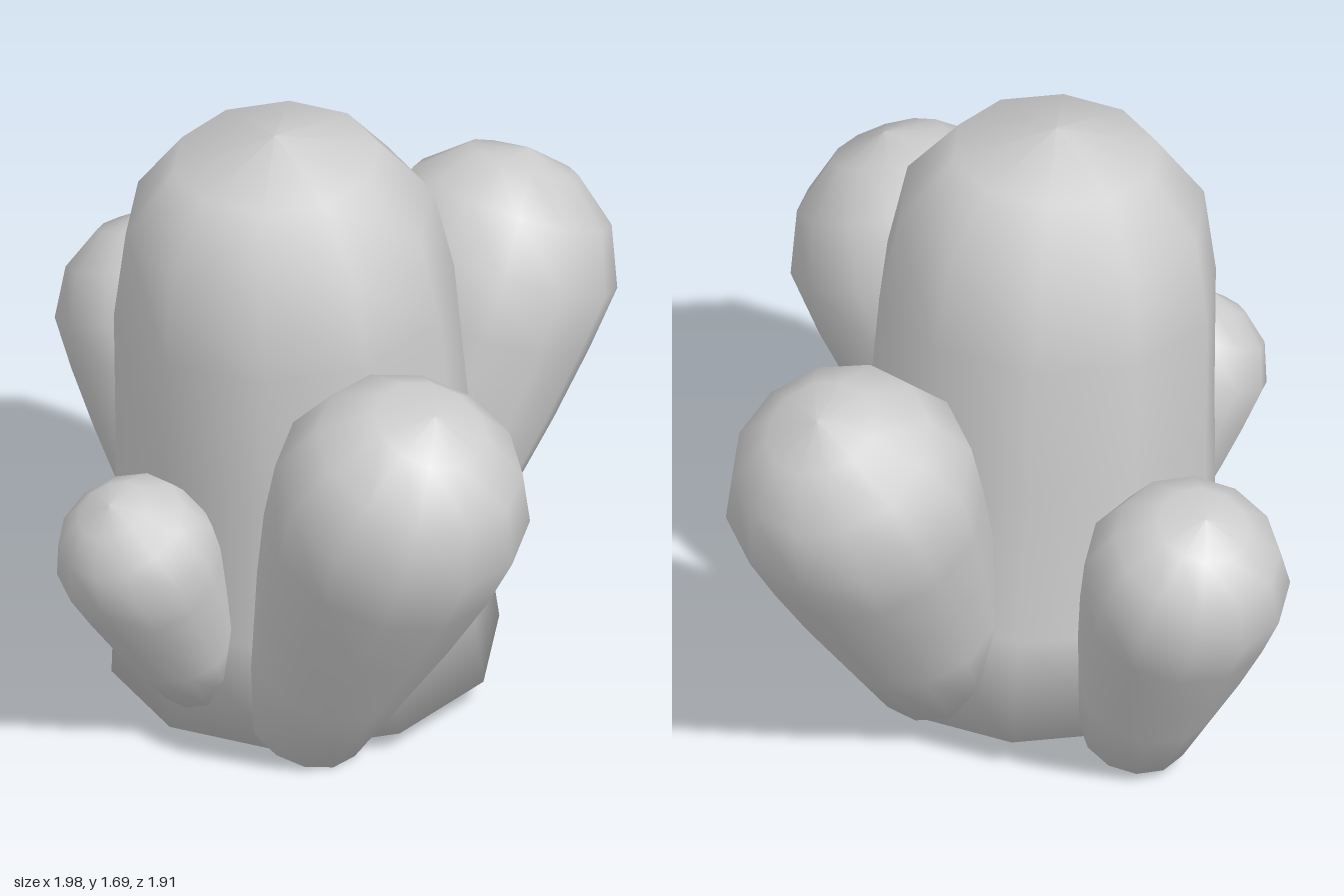
import * as THREE from 'three';

const UP = new THREE.Vector3(0, 1, 0);

// Turned solid running from a base point towards a second point
function turned(name, profile, sides, base, toward, material, spin = 0) {
  const points = profile.map(([r, h]) => new THREE.Vector2(r, h));
  const mesh = new THREE.Mesh(new THREE.LatheGeometry(points, sides, spin), material);
  const from = new THREE.Vector3(...base);
  const axis = new THREE.Vector3(...toward).sub(from).normalize();
  mesh.quaternion.setFromUnitVectors(UP, axis);
  mesh.position.copy(from);
  mesh.name = name;
  return mesh;
}

// Tapered stalk that widens into a round head
function bulb(name, base, head, baseRadius, headRadius, material) {
  const length = new THREE.Vector3(...base).distanceTo(new THREE.Vector3(...head));
  const profile = [[0, 0], [baseRadius, 0]];
  const low = length - headRadius * 0.38;
  for (const t of [0.35, 0.7]) {
    profile.push([THREE.MathUtils.lerp(baseRadius, headRadius * 0.95, t), low * t]);
  }
  for (const degrees of [-22, 8, 37, 64, 90]) {
    const a = THREE.MathUtils.degToRad(degrees);
    const r = degrees === 90 ? 0 : headRadius * Math.cos(a);
    profile.push([r, length + headRadius * Math.sin(a)]);
  }
  return turned(name, profile, 12, base, head, material, Math.PI / 12);
}

export function createModel() {
  const group = new THREE.Group();
  group.name = 'bulbCluster';
  const grey = new THREE.MeshStandardMaterial({ color: 0xcccccc });
  grey.name = 'grey';

  // Large central column, leaning slightly forward
  const column = [
    [0, 0], [0.53, 0], [0.505, 0.3], [0.48, 0.75], [0.465, 1.13],
    [0.42, 1.38], [0.28, 1.555], [0, 1.625],
  ];
  group.add(turned('centralColumn', column, 10, [0.015, 0.065, 0.09], [0.015, 1.69, 0.21], grey));

  // Smaller bulbs spreading outward around it
  const bulbs = [
    ['leftBulb', [0.31, 0.06, 0.4], [0.65, 0.87, 0.4], 0.16, 0.36],
    ['rightBulb', [-0.49, 0.08, -0.06], [-0.72, 0.71, -0.12], 0.15, 0.285],
    ['frontBulb', [0.03, 0.16, 0.5], [0.01, 0.6, 0.735], 0.13, 0.225],
    ['backBulb', [0.01, 0.18, -0.27], [0.02, 0.93, -0.62], 0.19, 0.35],
  ];
  for (const [name, base, head, r, R] of bulbs) group.add(bulb(name, base, head, r, R, grey));

  return group;
}
